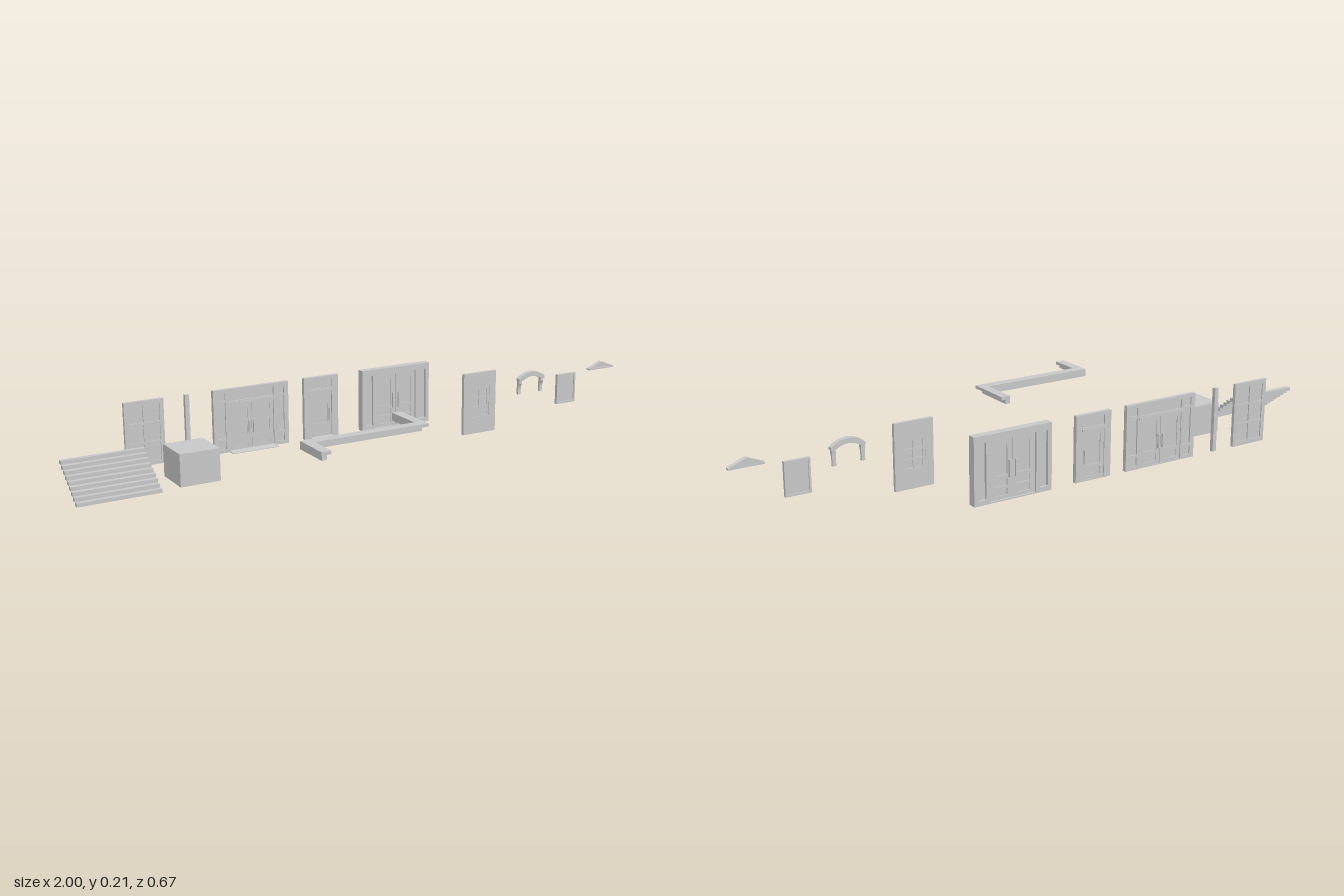
import * as THREE from 'three';

const grey = new THREE.MeshStandardMaterial({ color: 0xcccccc, side: THREE.DoubleSide });

function add(parent, name, geometry) {
  const mesh = new THREE.Mesh(geometry, grey);
  mesh.name = name;
  parent.add(mesh);
  return mesh;
}

// box given by its limits
function box(parent, name, x0, x1, y0, y1, z0, z1) {
  const m = add(parent, name, new THREE.BoxGeometry(x1 - x0, y1 - y0, z1 - z0));
  m.position.set((x0 + x1) / 2, (y0 + y1) / 2, (z0 + z1) / 2);
  return m;
}

function group(parent, name) {
  const g = new THREE.Group();
  g.name = name;
  parent.add(g);
  return g;
}

function rect(C, x0, x1, y0, y1) {
  return new C([[x0, y0], [x1, y0], [x1, y1], [x0, y1]].map(p => new THREE.Vector2(...p)));
}

const extrude = (shape, depth) =>
  new THREE.ExtrudeGeometry(shape, { depth, bevelEnabled: false, curveSegments: 10 });

// flat panel with rectangular openings, each closed by a thin recessed pane
function panel(parent, name, [x0, x1, y0, y1], z0, z1, openings) {
  const shape = rect(THREE.Shape, x0, x1, y0, y1);
  shape.holes = openings.map(o => rect(THREE.Path, ...o));
  add(parent, name + 'Frame', extrude(shape, z1 - z0)).position.z = z0;
  const zm = (z0 + z1) / 2, t = (z1 - z0) * 0.15;
  for (const o of openings) box(parent, name + 'Pane', ...o, zm - t, zm + t);
}

// regular grid of openings
function grid([x0, x1, y0, y1], cols, rows, bar) {
  const out = [], w = (x1 - x0 + bar) / cols, h = (y1 - y0 + bar) / rows;
  for (let i = 0; i < cols; i++)
    for (let j = 0; j < rows; j++)
      out.push([x0 + i * w, x0 + (i + 1) * w - bar, y0 + j * h, y0 + (j + 1) * h - bar]);
  return out;
}

// sloping doorstep
function doorstep(parent, x0, x1) {
  const s = new THREE.Shape();
  s.moveTo(0, 0); s.lineTo(0.03, 0); s.lineTo(0.03, 0.002); s.lineTo(0, 0.005);
  const m = add(parent, 'doorstep', extrude(s, x1 - x0));
  m.rotation.y = -Math.PI / 2;
  m.position.set(x1, 0, -0.317);
  m.scale.z = 1;
  // profile runs along +z, width along -x
  return m;
}

// door leaf handles on both faces
function handles(parent, x, y0, y1, z0, z1) {
  for (const z of [z0, z1]) box(parent, 'handle', x - 0.003, x + 0.003, y0, y1, z - 0.003, z + 0.003);
}

export function createModel() {
  const root = new THREE.Group();
  root.name = 'buildingKit';

  // open flight of overlapping treads
  const stairs = group(root, 'stairs');
  for (let i = 0; i < 9; i++) {
    const z = -0.04 - i * 0.0157, y = i * 0.0117;
    box(stairs, 'tread', -1, -0.74, y, y + 0.0117, z - 0.0162, z);
  }

  box(root, 'block', -0.677, -0.547, 0.002, 0.105, -0.181, -0.051);

  // tall window of six panes
  const win = group(root, 'tallWindow');
  panel(win, 'tallWindow', [-0.748, -0.617, 0, 0.211], -0.326, -0.315,
    grid([-0.734, -0.631, 0.014, 0.197], 2, 3, 0.007));

  box(root, 'post', -0.545, -0.531, 0, 0.211, -0.327, -0.314);

  // shop front with transom, side lights and two door leaves
  const shop = group(root, 'doubleShopDoor');
  const cx = -0.316;
  const shopSides = [-1, 1].flatMap(s => {
    const a = cx + s * 0.118, b = cx + s * 0.092;
    const l = Math.min(a, b), r = Math.max(a, b);
    return [[l, r, 0.012, 0.04], [l, r, 0.048, 0.165], [l, r, 0.174, 0.2]];
  });
  panel(shop, 'surround', [-0.45, -0.182, 0, 0.211], -0.327, -0.313,
    [...shopSides, [cx - 0.08, cx + 0.08, 0.17, 0.2], [cx - 0.08, cx + 0.08, 0.003, 0.158]]);
  for (const s of [-1, 1]) {
    const x = cx + s * 0.04;
    panel(shop, 'leaf', [x - 0.039, x + 0.039, 0.003, 0.157], -0.325, -0.316,
      [[x - 0.026, x + 0.026, 0.05, 0.145], [x - 0.026, x + 0.026, 0.014, 0.038]]);
    handles(shop, cx + s * 0.008, 0.055, 0.1, -0.328, -0.313);
  }
  box(shop, 'transomSill', cx - 0.085, cx + 0.085, 0.158, 0.166, -0.33, -0.31);
  doorstep(shop, -0.396, -0.232);

  // single door with transom
  const single = group(root, 'singleShopDoor');
  const sx = -0.059;
  panel(single, 'surround', [-0.123, 0.005, 0, 0.211], -0.327, -0.313,
    [[sx - 0.04, sx + 0.04, 0.17, 0.2], [sx - 0.04, sx + 0.04, 0.003, 0.158]]);
  panel(single, 'leaf', [sx - 0.039, sx + 0.039, 0.003, 0.157], -0.325, -0.316,
    [[sx - 0.026, sx + 0.026, 0.05, 0.145], [sx - 0.026, sx + 0.026, 0.014, 0.038]]);
  box(single, 'transomSill', sx - 0.043, sx + 0.043, 0.158, 0.166, -0.33, -0.31);
  handles(single, sx + 0.032, 0.055, 0.1, -0.328, -0.313);
  doorstep(single, -0.1, -0.02);

  // deep entrance with panelled double doors
  const entry = group(root, 'deepDoubleDoor');
  const ex = 0.229;
  panel(entry, 'surround', [0.095, 0.362, 0, 0.211], -0.331, -0.304, [
    [ex - 0.12, ex - 0.092, 0.015, 0.19], [ex + 0.092, ex + 0.12, 0.015, 0.19],
    [ex - 0.079, ex + 0.079, 0.004, 0.19]]);
  for (const s of [-1, 1]) {
    const x = ex + s * 0.0395, w = 0.022;
    panel(entry, 'leaf', [x - 0.039, x + 0.039, 0.004, 0.189], -0.325, -0.31, [
      [x - w, x + w, 0.078, 0.172], [x - w, x + w, 0.044, 0.066], [x - w, x + w, 0.015, 0.034]]);
    // pull bars on short stand-offs
    for (const z of [-0.33, -0.305]) {
      box(entry, 'pullBar', ex + s * 0.011 - 0.003, ex + s * 0.011 + 0.003, 0.068, 0.122, z - 0.003, z + 0.003);
      for (const y of [0.072, 0.118])
        box(entry, 'standOff', ex + s * 0.011 - 0.002, ex + s * 0.011 + 0.002, y - 0.002, y + 0.002,
          Math.min(z, -0.3175), Math.max(z, -0.3175));
    }
  }

  // wall section with a small window
  const wall = group(root, 'windowWall');
  panel(wall, 'wall', [0.364, 0.494, 0, 0.211], -0.1, -0.088, [[0.392, 0.468, 0.056, 0.16]]);
  panel(wall, 'sash', [0.392, 0.468, 0.056, 0.16], -0.099, -0.09,
    grid([0.4, 0.46, 0.064, 0.152], 2, 3, 0.006));

  // arched hood on two curved brackets
  const hood = group(root, 'archedHood');
  const arch = new THREE.Shape();
  arch.moveTo(-0.054, 0.163);
  arch.lineTo(-0.054, 0.171);
  arch.quadraticCurveTo(-0.03, 0.192, 0, 0.192);
  arch.quadraticCurveTo(0.03, 0.192, 0.054, 0.171);
  arch.lineTo(0.054, 0.163);
  arch.lineTo(0.04, 0.163);
  arch.quadraticCurveTo(0.02, 0.176, 0, 0.176);
  arch.quadraticCurveTo(-0.02, 0.176, -0.04, 0.163);
  add(hood, 'arch', extrude(arch, 0.017)).position.set(0.636, 0, -0.089);
  const bracket = new THREE.Shape();
  bracket.moveTo(0, 0.115);
  bracket.lineTo(0.009, 0.115);
  bracket.quadraticCurveTo(0.004, 0.138, 0.012, 0.152);
  bracket.lineTo(0.012, 0.164);
  bracket.lineTo(0, 0.164);
  for (const x of [0.584, 0.676]) {
    const m = add(hood, 'bracket', extrude(bracket, 0.012));
    m.rotation.y = -Math.PI / 2;
    m.position.set(x + 0.012, 0, -0.089);
  }

  // loose window pane
  const loose = group(root, 'windowPane');
  panel(loose, 'pane', [0.76, 0.84, 0.055, 0.161], -0.1, -0.089, [[0.766, 0.834, 0.061, 0.155]]);

  // low pediment with a recessed face
  const ped = group(root, 'pediment');
  const tri = (C, w, y0, y1, y2) => {
    const pts = [[-w, y0], [w, y0], [w, y1], [0, y2], [-w, y1]];
    return new C(pts.map(p => new THREE.Vector2(...p)));
  };
  const outer = tri(THREE.Shape, 0.054, 0.164, 0.169, 0.191);
  outer.holes = [tri(THREE.Path, 0.034, 0.169, 0.1695, 0.183)];
  add(ped, 'moulding', extrude(outer, 0.016)).position.set(0.945, 0, -0.091);
  add(ped, 'face', extrude(tri(THREE.Shape, 0.036, 0.168, 0.17, 0.184), 0.008)).position.set(0.945, 0, -0.09);

  // stepped cornice running round two corners; o is the overhang cut from its outer side
  const cornice = group(root, 'cornice');
  const run = (name, o, y0, y1) => {
    const pts = [[-0.016, 0.073], [0.016 - o, 0.073], [0.016 - o, 0.235 - o], [-0.374 - o, 0.235 - o],
      [-0.374 - o, 0.335], [-0.406, 0.335], [-0.406, 0.202], [-0.016, 0.202]];
    const m = add(cornice, name, extrude(new THREE.Shape(pts.map(([x, z]) => new THREE.Vector2(x, -z))), y1 - y0));
    m.rotation.x = -Math.PI / 2;
    m.position.y = y0;
  };
  run('upperCornice', 0, 0.16, 0.17);
  run('lowerCornice', 0.015, 0.145, 0.16);

  return root;
}
